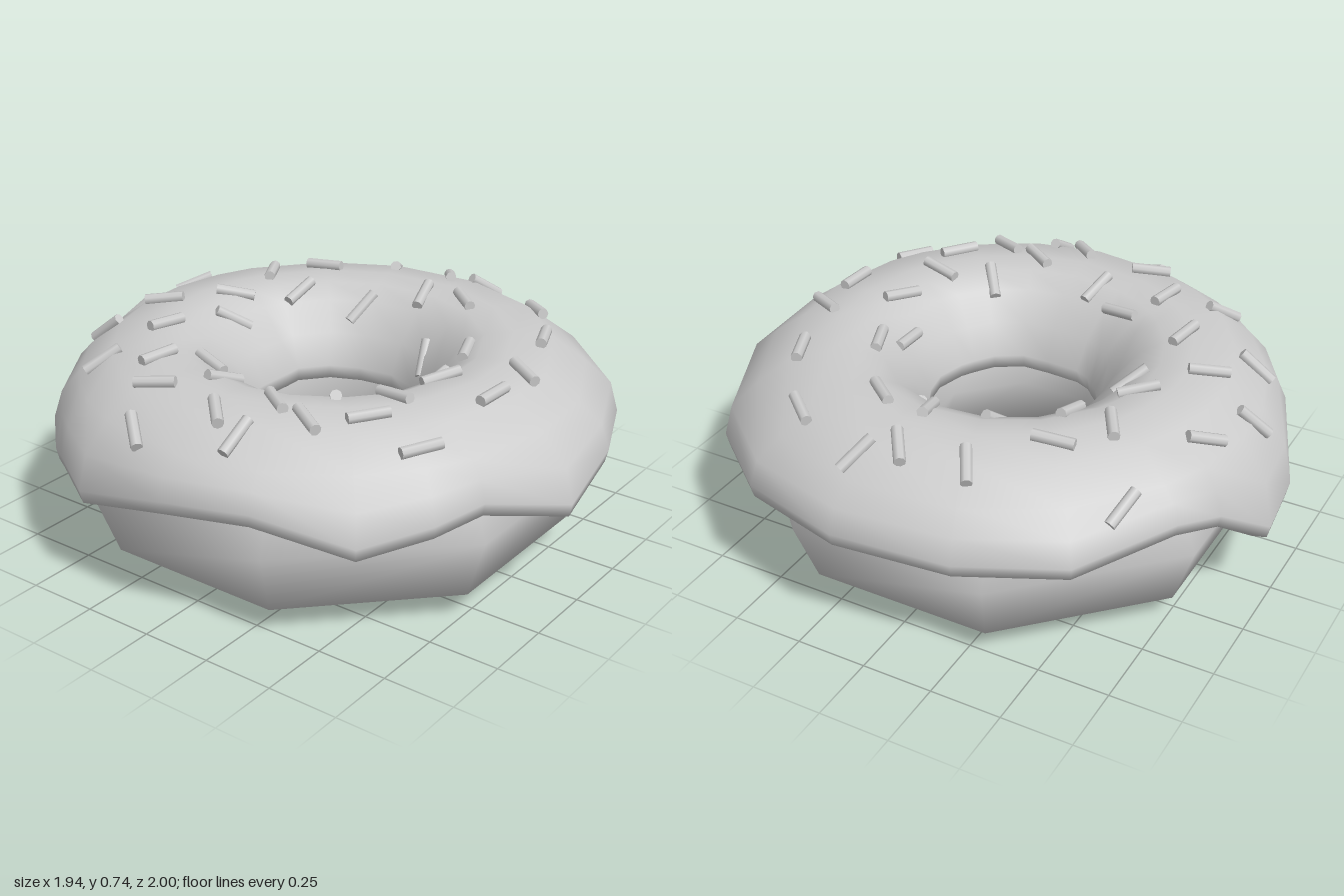
import * as THREE from 'three';

const material = new THREE.MeshStandardMaterial({ color: 0xcccccc });
const icingMaterial = new THREE.MeshStandardMaterial({ color: 0xcccccc, side: THREE.DoubleSide });

// Icing rim, going round: x, z, height of the lower edge, radius of the hole
const RIM = [
  [0.97, 0.12, 0.40, 0.305], [0.86, 0.50, 0.39, 0.30], [0.60, 0.80, 0.35, 0.30],
  [0.23, 0.96, 0.39, 0.30], [-0.08, 1.00, 0.33, 0.31], [-0.40, 0.87, 0.43, 0.31],
  [-0.55, 0.79, 0.39, 0.31], [-0.75, 0.64, 0.35, 0.32], [-0.90, 0.35, 0.44, 0.32],
  [-0.97, 0.05, 0.42, 0.30], [-0.93, -0.33, 0.32, 0.31], [-0.84, -0.50, 0.36, 0.31],
  [-0.75, -0.62, 0.32, 0.30], [-0.66, -0.71, 0.38, 0.30], [-0.42, -0.85, 0.43, 0.30],
  [-0.16, -0.98, 0.27, 0.28], [0.07, -1.00, 0.24, 0.275], [0.30, -0.91, 0.40, 0.285],
  [0.46, -0.83, 0.44, 0.31], [0.77, -0.62, 0.40, 0.31], [0.93, -0.29, 0.40, 0.30],
];

// Upper surface of the icing: radius, height
const TOP = [[0.44, 0.66], [0.52, 0.70], [0.62, 0.71], [0.76, 0.69], [0.875, 0.605]];

// Sprinkles: x, z, heading in degrees from +x towards +z
const SPRINKLES = [
  [-0.32, -0.77, 80], [-0.05, -0.87, 60], [0.19, -0.80, 42], [-0.11, -0.68, 60],
  [0.57, -0.69, 15], [-0.58, -0.54, 38], [-0.29, -0.51, 10], [-0.01, -0.44, 42],
  [0.10, -0.52, 55], [0.34, -0.54, -30], [0.51, -0.42, 80], [0.29, -0.37, 2],
  [-0.52, -0.34, 10], [-0.68, -0.21, 65], [-0.85, -0.15, -50], [-0.39, -0.22, -75],
  [-0.49, -0.08, 15], [0.39, -0.16, 18], [0.72, -0.23, -30], [0.51, 0.03, -15],
  [0.74, 0.00, -35], [0.80, 0.12, 30], [0.31, 0.17, -20], [0.52, 0.20, -50],
  [-0.72, 0.08, -45], [-0.77, 0.20, 2], [-0.57, 0.20, -55], [-0.38, 0.29, -38],
  [-0.61, 0.35, -60], [-0.48, 0.49, 35], [-0.31, 0.47, -78], [0.05, 0.39, -3],
  [0.19, 0.42, -22], [-0.09, 0.50, 28], [0.68, 0.41, -50], [0.40, 0.60, -22],
  [-0.47, 0.68, 30], [-0.11, 0.71, 3], [0.10, 0.70, -60],
];

// Height of the icing at a given radius
function icingHeight(r) {
  const p = [[0.31, 0.45], [0.36, 0.56], ...TOP, [0.96, 0.49]];
  let i = 0;
  while (i < p.length - 2 && r > p[i + 1][0]) i++;
  const t = THREE.MathUtils.clamp((r - p[i][0]) / (p[i + 1][0] - p[i][0]), 0, 1);
  return THREE.MathUtils.lerp(p[i][1], p[i + 1][1], t);
}

// Section of the icing from the hole, over the top, to the dripping lip
function icingSection(radius, edge, hole) {
  const widest = edge + 0.06;
  return [
    [hole + 0.06, 0.39], [hole + 0.005, 0.40], [hole, 0.45], [hole + 0.05, 0.56],
    ...TOP,
    [radius - 0.03, (widest + 0.605) / 2 + 0.01],
    [radius, widest], [radius - 0.01, edge + 0.015], [radius - 0.06, edge],
    [radius - 0.10, edge + 0.03], [0.81, edge + 0.07],
  ];
}

function icingGeometry() {
  const positions = [], indices = [];
  const rings = RIM.length;
  let n = 0;
  for (const [x, z, edge, hole] of RIM) {
    const radius = Math.hypot(x, z);
    const section = icingSection(radius, edge, hole);
    n = section.length;
    for (const [r, y] of section) positions.push(x / radius * r, y, z / radius * r);
  }
  for (let i = 0; i < rings; i++) {
    for (let j = 0; j < n - 1; j++) {
      const a = i * n + j, b = ((i + 1) % rings) * n + j;
      indices.push(a, b, a + 1, b, b + 1, a + 1);
    }
  }
  const geometry = new THREE.BufferGeometry();
  geometry.setAttribute('position', new THREE.Float32BufferAttribute(positions, 3));
  geometry.setIndex(indices);
  geometry.computeVertexNormals();
  return geometry;
}

export function createModel() {
  const model = new THREE.Group();
  model.name = 'doughnut';

  // Dough: eight-sided ring, slightly taller than round
  const doughGeometry = new THREE.TorusGeometry(0.63, 0.29, 8, 8)
    .rotateX(-Math.PI / 2).rotateY(Math.PI / 8).scale(1, 0.32 / 0.29, 1).translate(0, 0.32, 0);
  const dough = new THREE.Mesh(doughGeometry, material);
  dough.name = 'dough';
  model.add(dough);

  // Icing with drips
  const icing = new THREE.Mesh(icingGeometry(), icingMaterial);
  icing.name = 'icing';
  model.add(icing);

  // Sprinkles lying along the icing
  const sprinkles = new THREE.Group();
  sprinkles.name = 'sprinkles';
  const sprinkleGeometry = new THREE.CylinderGeometry(0.02, 0.02, 0.14, 8);
  const up = new THREE.Vector3(0, 1, 0);
  for (const [x, z, heading] of SPRINKLES) {
    const a = THREE.MathUtils.degToRad(heading);
    const [start, end] = [-0.06, 0.06].map((d) => {
      const px = x + d * Math.cos(a), pz = z + d * Math.sin(a);
      return new THREE.Vector3(px, icingHeight(Math.hypot(px, pz)) + 0.012, pz);
    });
    const sprinkle = new THREE.Mesh(sprinkleGeometry, material);
    sprinkle.name = 'sprinkle';
    sprinkle.position.lerpVectors(start, end, 0.5);
    sprinkle.quaternion.setFromUnitVectors(up, end.sub(start).normalize());
    sprinkles.add(sprinkle);
  }
  model.add(sprinkles);
  return model;
}
